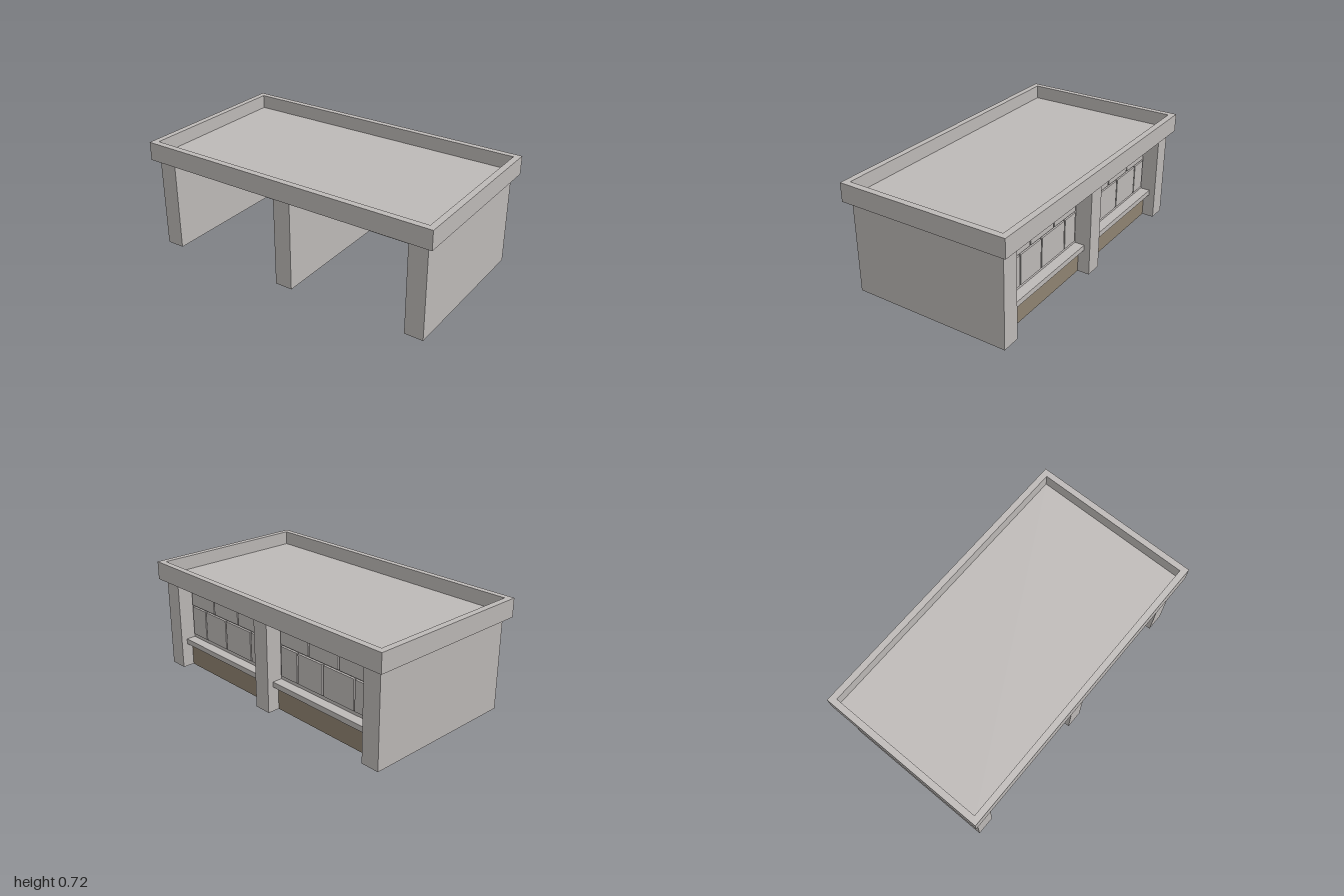
import * as THREE from 'three';

export function createModel() {
  const model = new THREE.Group();
  model.name = 'openShelter';

  const material = (name, color) => {
    const m = new THREE.MeshStandardMaterial({ color });
    m.name = name;
    return m;
  };
  const concrete = material('concreteGrey', 0xbdb9b7);
  const timber = material('timberBrown', 0x8f8371);
  const glow = material('paleYellow', 0xcbc47a);

  // Box given by its lower and upper limits on each axis
  const block = (parent, name, mat, [x0, x1], [y0, y1], [z0, z1]) => {
    const mesh = new THREE.Mesh(new THREE.BoxGeometry(x1 - x0, y1 - y0, z1 - z0), mat);
    mesh.position.set((x0 + x1) / 2, (y0 + y1) / 2, (z0 + z1) / 2);
    mesh.name = name;
    parent.add(mesh);
  };

  // Roof slab with a raised parapet rim
  block(model, 'roofSlab', concrete, [-0.96, 0.96], [0.6, 0.63], [-0.52, 0.52]);
  const rim = new THREE.Shape([[-1, -0.56], [1, -0.56], [1, 0.56], [-1, 0.56]]
    .map(([x, y]) => new THREE.Vector2(x, y)));
  rim.holes.push(new THREE.Path([[-0.96, -0.52], [-0.96, 0.52], [0.96, 0.52], [0.96, -0.52]]
    .map(([x, y]) => new THREE.Vector2(x, y))));
  const parapet = new THREE.Mesh(
    new THREE.ExtrudeGeometry(rim, { depth: 0.12, bevelEnabled: false }), concrete);
  parapet.rotation.x = -Math.PI / 2;
  parapet.position.y = 0.6;
  parapet.name = 'parapet';
  model.add(parapet);

  // Three full-depth dividing walls
  for (const [name, x0, x1] of [['rightWall', -0.96, -0.84], ['middleWall', -0.058, 0.058], ['leftWall', 0.84, 0.96]]) {
    block(model, name, concrete, [x0, x1], [0, 0.6], [-0.52, 0.52]);
  }

  // Back wall of each bay
  const makeBay = (name, x0, x1, lintelMaterial) => {
    const bay = new THREE.Group();
    bay.name = name;
    const span = [x0, x1];
    block(bay, 'lowerWall', concrete, span, [0, 0.165], [-0.4, -0.36]);
    block(bay, 'lowerCladding', timber, span, [0, 0.16], [-0.44, -0.4]);
    block(bay, 'sill', concrete, span, [0.16, 0.195], [-0.48, -0.4]);
    block(bay, 'panel', concrete, span, [0.165, 0.6], [-0.415, -0.385]);
    block(bay, 'innerSill', glow, span, [0.165, 0.18], [-0.385, -0.37]);
    block(bay, 'innerFace', glow, span, [0.18, 0.56], [-0.385, -0.38]);
    block(bay, 'innerLintel', lintelMaterial, span, [0.56, 0.6], [-0.385, -0.37]);

    // Stepped timber header
    block(bay, 'upperHeader', timber, span, [0.57, 0.6], [-0.47, -0.415]);
    block(bay, 'lowerHeader', timber, span, [0.545, 0.57], [-0.44, -0.415]);

    // Two courses of stone, laid from the left side of the model
    const courses = [
      { y: [0.225, 0.42], widths: [0.15, 0.215, 0.25, 0.125] },
      { y: [0.432, 0.54], widths: [0.247, 0.247, 0.246] },
    ];
    for (const { y, widths } of courses) {
      let x = x1 - 0.02;
      for (const w of widths) {
        block(bay, 'stone', concrete, [x - w + 0.01, x], y, [-0.43, -0.415]);
        x -= w;
      }
    }
    model.add(bay);
  };
  makeBay('rightBay', -0.84, -0.058, glow);
  makeBay('leftBay', 0.058, 0.84, concrete);

  return model;
}
